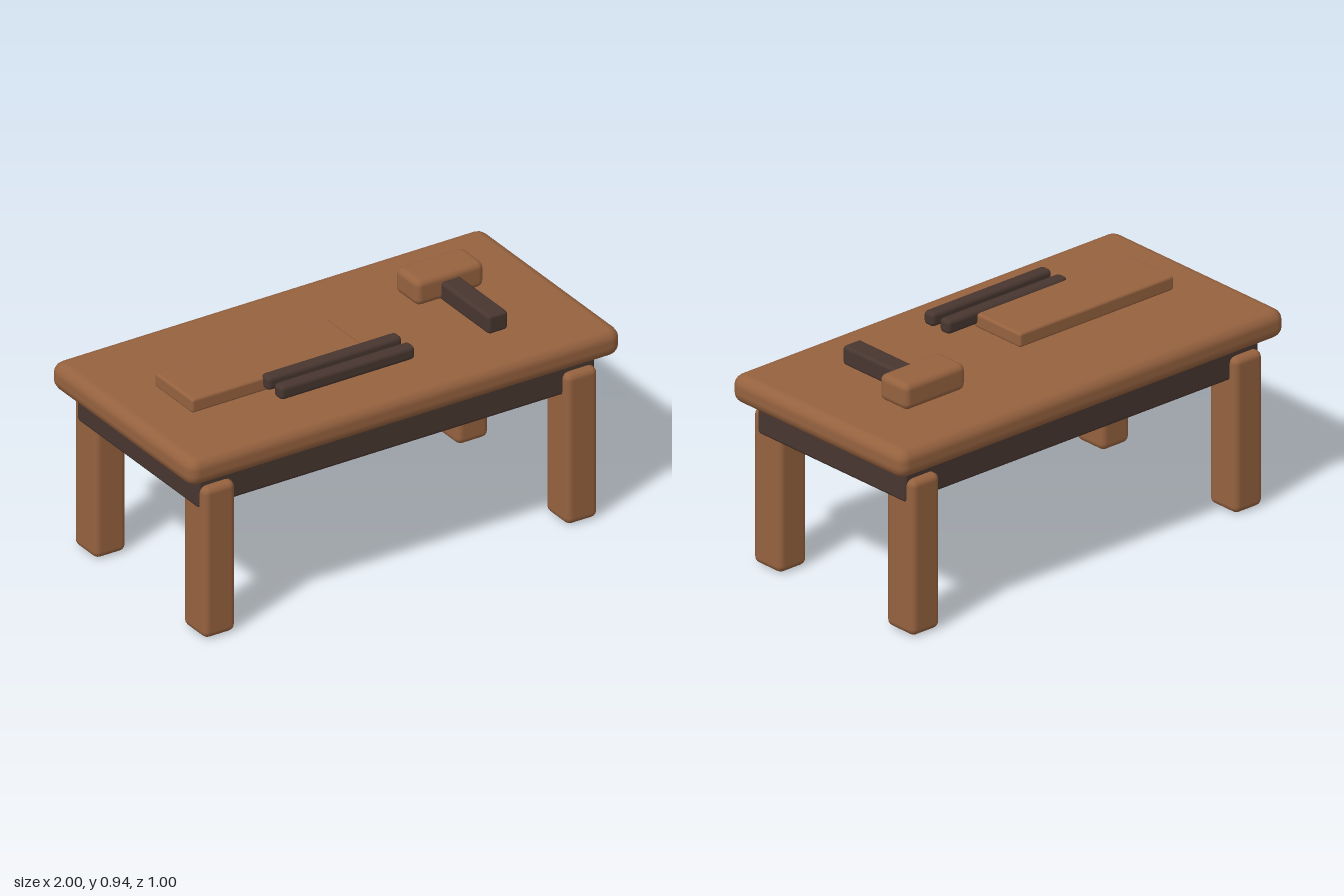
import * as THREE from 'three';
import { RoundedBoxGeometry } from 'three/addons/geometries/RoundedBoxGeometry.js';

export function createModel() {
  const wood = new THREE.MeshStandardMaterial({ color: 0x96623f });
  wood.name = 'warm wood';
  const darkWood = new THREE.MeshStandardMaterial({ color: 0x483630 });
  darkWood.name = 'dark wood';

  // Rounded block given by its extents along each axis
  function block(name, material, [x0, x1], [y0, y1], [z0, z1], radius) {
    const geometry = new RoundedBoxGeometry(x1 - x0, y1 - y0, z1 - z0, 2, radius);
    const mesh = new THREE.Mesh(geometry, material);
    mesh.name = name;
    mesh.position.set((x0 + x1) / 2, (y0 + y1) / 2, (z0 + z1) / 2);
    return mesh;
  }

  const model = new THREE.Group();
  model.name = 'workbench';

  // Thick top and the solid frame beneath it
  model.add(
    block('tableTop', wood, [-1, 1], [0.7, 0.823], [-0.5, 0.5], 0.05),
    block('apron', darkWood, [-0.917, 0.917], [0.564, 0.72], [-0.43, 0.43], 0.015),
  );

  // Four legs, mirrored across both axes
  for (const sx of [-1, 1]) {
    for (const sz of [-1, 1]) {
      const name = (sz > 0 ? 'front' : 'back') + (sx > 0 ? 'Left' : 'Right') + 'Leg';
      const leg = block(name, wood, [0.764, 0.91], [0, 0.662], [0.305, 0.466], 0.028);
      leg.position.x *= sx;
      leg.position.z *= sz;
      model.add(leg);
    }
  }

  // Plank and two rods lying on the top
  model.add(block('plank', wood, [-0.78, 0.02], [0.828, 0.89], [-0.092, 0.177], 0.012));
  [0.155, 0.247].forEach((z, i) => {
    model.add(block('rod' + (i + 1), darkWood, [-0.452, 0.17], [0.842, 0.902], [z, z + 0.057], 0.018));
  });

  // Mallet
  const mallet = new THREE.Group();
  mallet.name = 'mallet';
  mallet.add(
    block('malletHead', wood, [0.418, 0.732], [0.824, 0.936], [-0.228, -0.066], 0.028),
    block('malletHandle', darkWood, [0.53, 0.622], [0.823, 0.905], [-0.15, 0.267], 0.015),
  );
  model.add(mallet);

  return model;
}
